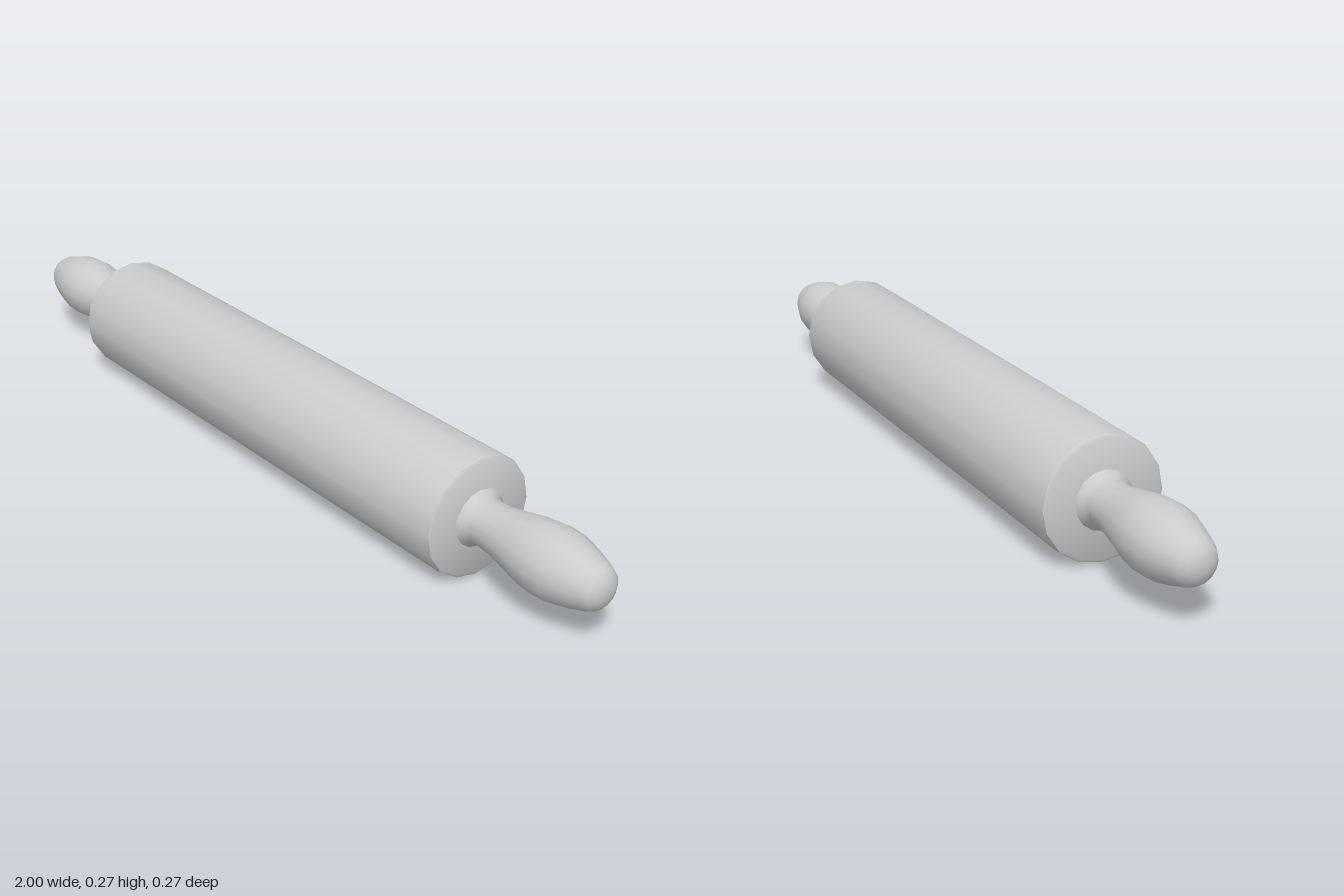
import * as THREE from 'three';
import { toCreasedNormals } from 'three/addons/utils/BufferGeometryUtils.js';

const SIDES = 16;
const AXIS_HEIGHT = 0.136;
const material = new THREE.MeshStandardMaterial({ color: 0xcccccc });

// Turns a profile of [distance along x, radius] pairs around the x axis.
function turned(name, profile, crease) {
  const points = profile.map(([x, r]) => new THREE.Vector2(r, x));
  let geometry = new THREE.LatheGeometry(points, SIDES).rotateZ(-Math.PI / 2);
  if (crease) geometry = toCreasedNormals(geometry, crease);
  const mesh = new THREE.Mesh(geometry, material);
  mesh.name = name;
  return mesh;
}

export function createModel() {
  const model = new THREE.Group();
  model.name = 'rollingPin';

  // Cylinder with narrow bevels and flat ends
  const halfRoller = [[0.64, 0.136], [0.649, 0.134], [0.653, 0.128], [0.653, 0]];
  const roller = turned('roller', [
    ...halfRoller.map(([x, r]) => [-x, r]).reverse(),
    ...halfRoller,
  ], 0.6);
  model.add(roller);

  // Handle: flared foot, narrow neck, swelling grip and rounded tip
  const handleProfile = [
    [0.64, 0.066], [0.655, 0.064], [0.662, 0.054], [0.68, 0.05], [0.72, 0.053],
    [0.765, 0.062], [0.81, 0.072], [0.85, 0.076], [0.89, 0.074], [0.93, 0.064],
    [0.97, 0.051], [0.985, 0.043], [0.995, 0.029], [1, 0.013], [1, 0],
  ];
  for (const [name, turn] of [['leftHandle', 0], ['rightHandle', Math.PI]]) {
    const handle = turned(name, handleProfile);
    handle.rotation.y = turn;
    model.add(handle);
  }

  for (const part of model.children) part.position.y = AXIS_HEIGHT;
  return model;
}
